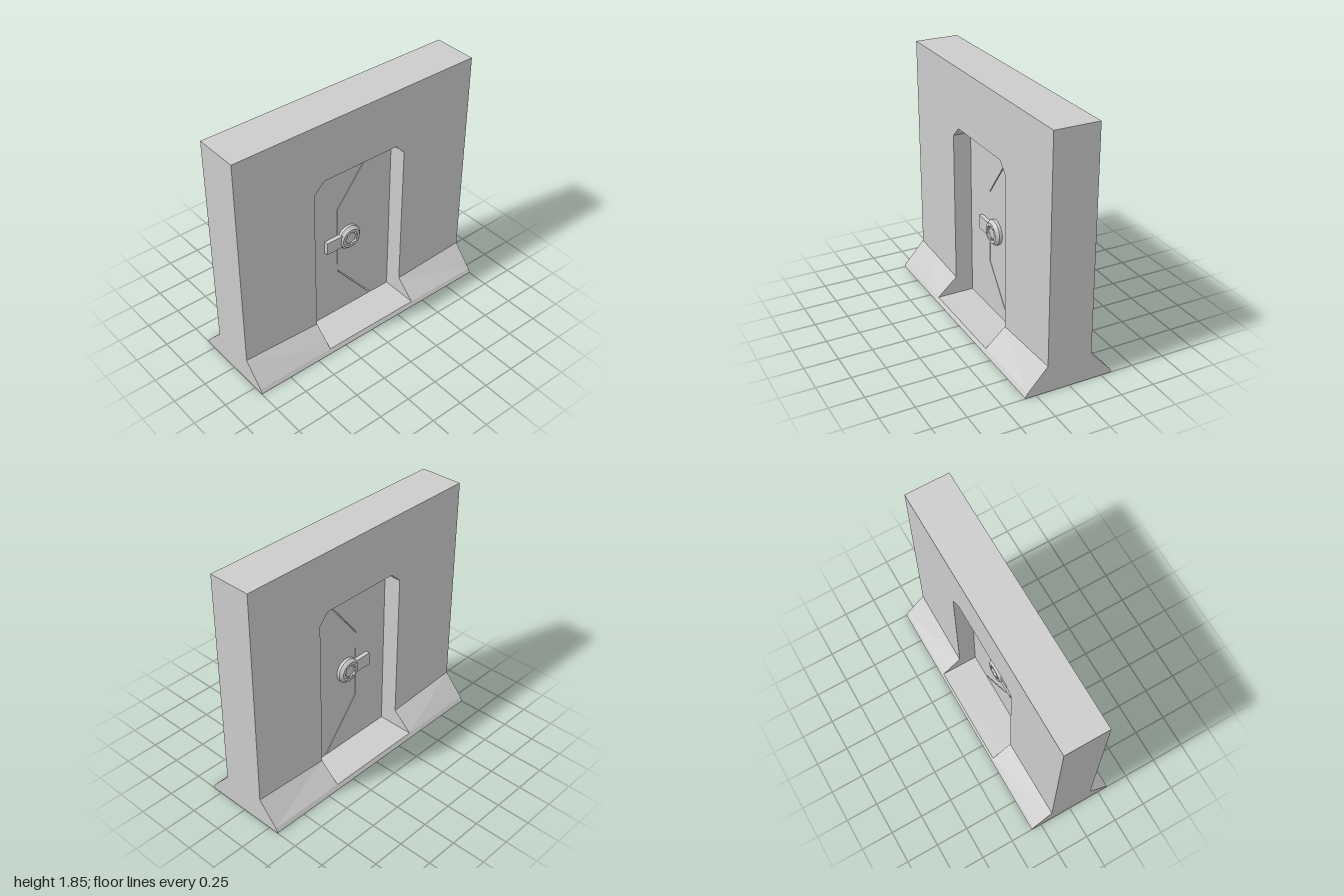
import * as THREE from 'three';

const WALL_Z = 0.165, DOOR_Z = 0.03, SILL = 0.035, TOP = 1.845;
const L = -0.385, R = 0.4;
const material = new THREE.MeshStandardMaterial({ color: 0xcccccc, flatShading: true });

function add(parent, geometry, name) {
  const mesh = new THREE.Mesh(geometry, material);
  mesh.name = name;
  parent.add(mesh);
  return mesh;
}

const points = list => list.map(([x, y]) => new THREE.Vector2(x, y));

// Flat slab centred on z = 0
function slab(outline, halfDepth, hole) {
  const shape = new THREE.Shape(points(outline));
  if (hole) shape.holes.push(new THREE.Path(points(hole)));
  const geometry = new THREE.ExtrudeGeometry(shape, { depth: halfDepth * 2, bevelEnabled: false });
  return geometry.translate(0, 0, -halfDepth);
}

// Sloped footing: one [z, y] profile swept along x, dropping to the sill at the doorway
function footing(side) {
  const stations = [[-1, 0.2], [L, 0.17], [L, SILL], [R, SILL], [R, 0.17], [1, 0.2]];
  const sections = stations.map(([x, h]) =>
    [[WALL_Z, 0], [0.33, 0], [0.33, 0.01], [0.315, SILL], [WALL_Z, h]]
      .map(([z, y]) => new THREE.Vector3(x, y, z * side)));
  const positions = [];
  const tri = (a, b, c) => {
    if (a.equals(b) || b.equals(c) || c.equals(a)) return;
    const order = side > 0 ? [a, b, c] : [a, c, b];
    order.forEach(p => positions.push(p.x, p.y, p.z));
  };
  for (let s = 0; s < sections.length - 1; s++) {
    const a = sections[s], b = sections[s + 1];
    for (let i = 0; i < a.length - 1; i++) {
      tri(a[i], b[i], a[i + 1]);
      tri(b[i], b[i + 1], a[i + 1]);
    }
  }
  const first = sections[0], last = sections[sections.length - 1];
  for (let i = 1; i < first.length - 1; i++) {
    tri(first[0], first[i], first[i + 1]);
    tri(last[0], last[i + 1], last[i]);
  }
  const geometry = new THREE.BufferGeometry();
  geometry.setAttribute('position', new THREE.Float32BufferAttribute(positions, 3));
  geometry.computeVertexNormals();
  return geometry;
}

// Round lock with a recessed hub, small lugs and a side handle, facing +z
function createLock() {
  const lock = new THREE.Group();
  const profile = points([[0.095, 0], [0.095, 0.022], [0.075, 0.045], [0.056, 0.045], [0.052, 0.03], [0, 0.03]]);
  add(lock, new THREE.LatheGeometry(profile, 24).rotateX(Math.PI / 2), 'lockDisc');
  for (let i = 0; i < 8; i++) {
    const angle = (i + 0.5) * Math.PI / 4;
    const lug = add(lock, new THREE.BoxGeometry(0.012, 0.018, 0.014), 'lockLug');
    lug.position.set(Math.cos(angle) * 0.05, Math.sin(angle) * 0.05, 0.037);
    lug.rotation.z = angle;
  }
  const handle = add(lock, new THREE.BoxGeometry(0.15, 0.1, 0.032), 'lockHandle');
  handle.position.set(-0.135, 0, 0.016);
  return lock;
}

export function createModel() {
  const model = new THREE.Group();
  model.name = 'wallWithDoor';

  // Wall with a chamfered doorway
  add(model, slab(
    [[-1, 0], [1, 0], [1, TOP], [-1, TOP]], WALL_Z,
    [[L, SILL], [L, 1.32], [-0.3, 1.4], [0.325, 1.4], [R, 1.32], [R, SILL]]
  ), 'wall');

  add(model, footing(1), 'frontFooting');
  add(model, footing(-1), 'backFooting');

  // Two interlocking door leaves with a narrow angled gap
  add(model, slab([[L, SILL], [0.222, SILL], [-0.087, 0.42], [-0.087, 0.98],
    [0.238, 1.4], [-0.3, 1.4], [L, 1.32]], DOOR_Z), 'rightDoorLeaf');
  add(model, slab([[0.234, SILL], [R, SILL], [R, 1.32], [0.325, 1.4],
    [0.25, 1.4], [-0.083, 0.975], [-0.083, 0.425]], DOOR_Z), 'leftDoorLeaf');

  // Locks on both faces, handles pointing the same way
  const frontLock = createLock();
  frontLock.name = 'frontLock';
  frontLock.position.set(0.01, 0.7, DOOR_Z);
  const backLock = createLock();
  backLock.name = 'backLock';
  backLock.position.set(0.01, 0.7, -DOOR_Z);
  backLock.rotation.x = Math.PI;
  model.add(frontLock, backLock);

  return model;
}
